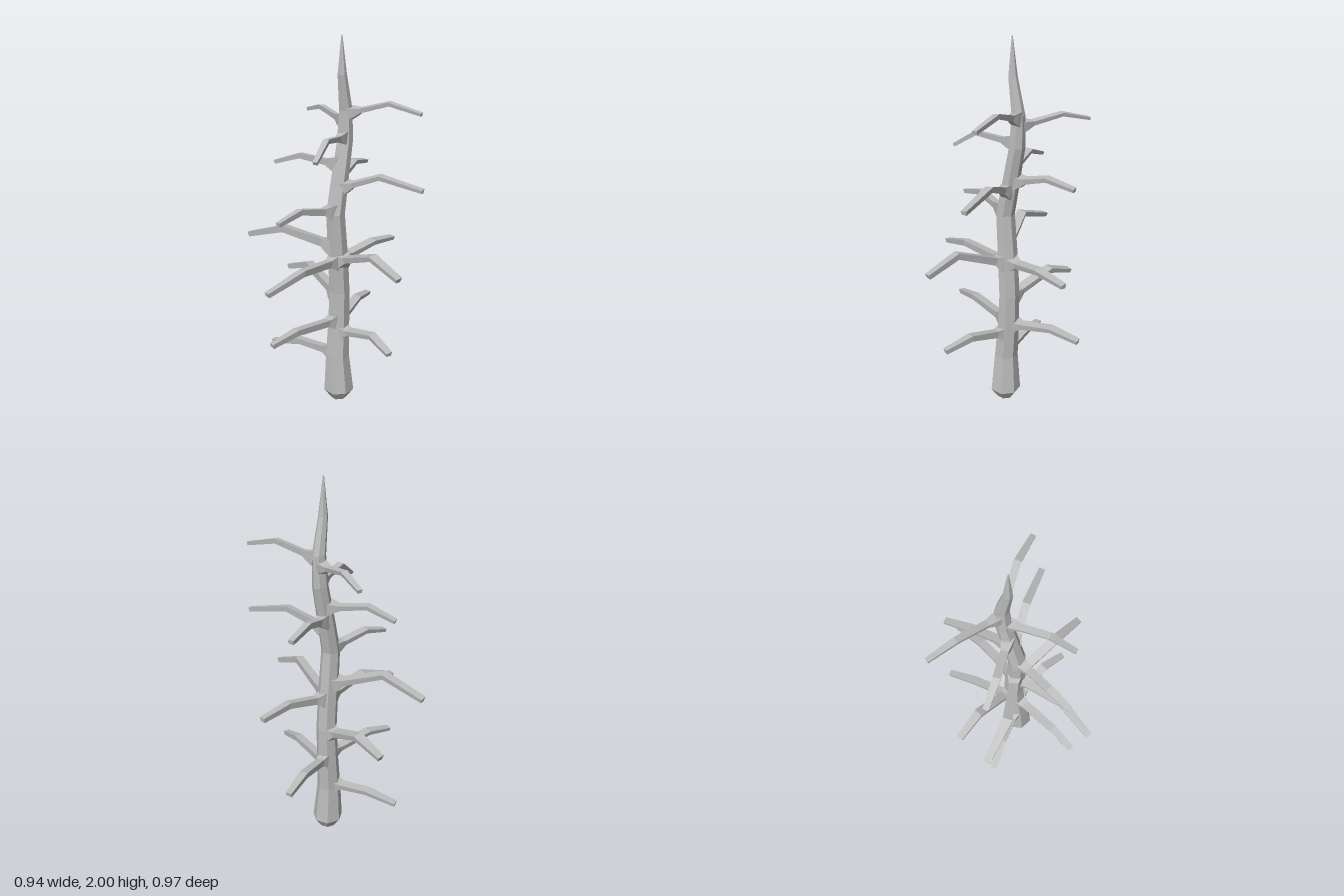
import * as THREE from 'three';

const V = (x, y, z) => new THREE.Vector3(x, y, z);

// Skin a list of closed rings (equal point counts), capping both ends; faceted normals.
function loft(rings) {
  const pos = [];
  const tri = (...pts) => pts.forEach((p) => pos.push(p.x, p.y, p.z));
  const n = rings[0].length;
  const centre = (r) => r.reduce((s, p) => s.add(p), V(0, 0, 0)).divideScalar(n);
  const first = rings[0], last = rings[rings.length - 1];
  const c0 = centre(first), c1 = centre(last);
  for (let j = 0; j < n; j++) {
    const k = (j + 1) % n;
    for (let i = 0; i < rings.length - 1; i++) {
      const a = rings[i], b = rings[i + 1];
      tri(a[j], b[j], b[k]);
      tri(a[j], b[k], a[k]);
    }
    tri(c0, first[j], first[k]);
    tri(c1, last[k], last[j]);
  }
  const g = new THREE.BufferGeometry();
  g.setAttribute('position', new THREE.Float32BufferAttribute(pos, 3));
  g.computeVertexNormals();
  return g;
}

// Trunk stations: x, y, z, radius
const TRUNK = [
  [0.035, 0, 0.03, 0.045], [0.035, 0.055, 0.03, 0.084], [0.032, 0.27, 0.022, 0.066],
  [0.045, 0.45, 0.02, 0.06], [0.052, 0.65, 0.02, 0.056], [0.04, 0.85, 0.018, 0.055],
  [0.02, 1.1, 0.015, 0.05], [0.055, 1.27, 0.015, 0.047], [0.097, 1.47, 0.017, 0.042],
  [0.104, 1.63, 0.017, 0.035], [0.07, 1.81, 0.018, 0.024], [0.065, 2, 0.018, 0.003],
];

function trunkAt(y) {
  let i = 0;
  while (i < TRUNK.length - 2 && TRUNK[i + 1][1] < y) i++;
  const a = TRUNK[i], b = TRUNK[i + 1], t = (y - a[1]) / (b[1] - a[1]);
  return V(a[0] + (b[0] - a[0]) * t, y, a[2] + (b[2] - a[2]) * t);
}

// Branches: height on the trunk, elbow x y z, tip x y z, scale
const BRANCHES = [
  [0.28, -0.01, 0.30, -0.21, -0.052, 0.265, -0.375, 1],
  [0.41, 0.0, 0.47, 0.27, -0.05, 0.43, 0.41, 1],
  [0.46, 0.30, 0.50, -0.03, 0.455, 0.47, -0.06, 1],
  [0.48, -0.25, 0.505, -0.04, -0.40, 0.475, -0.08, 1],
  [0.62, 0.12, 0.72, -0.24, 0.14, 0.665, -0.40, 1.1],
  [0.83, 0.29, 0.875, 0.075, 0.462, 0.855, 0.095, 1],
  [0.83, -0.26, 0.86, 0.015, -0.465, 0.795, -0.045, 1],
  [0.83, -0.055, 0.94, 0.30, -0.088, 0.875, 0.475, 1.05],
  [0.91, -0.085, 0.995, -0.25, -0.103, 0.92, -0.48, 1.1],
  [1.11, -0.20, 1.155, -0.045, -0.34, 1.12, -0.07, 0.9],
  [1.23, 0.105, 1.31, 0.23, 0.15, 1.265, 0.455, 0.9],
  [1.28, 0.25, 1.325, -0.03, 0.40, 1.295, -0.055, 0.9],
  [1.35, 0.0, 1.385, -0.20, -0.03, 1.335, -0.345, 0.85],
  [1.49, -0.125, 1.515, 0.065, -0.253, 1.435, 0.095, 0.72],
  [1.57, 0.20, 1.61, -0.21, 0.268, 1.573, -0.35, 0.72],
  [1.61, 0.16, 1.675, 0.24, 0.183, 1.637, 0.41, 0.75],
];

function branchGeometry([y, ex, ey, ez, tx, ty, tz, s]) {
  const root = trunkAt(y), elbow = V(ex, ey, ez), tip = V(tx, ty, tz);
  const d1 = elbow.clone().sub(root).normalize();
  const d2 = tip.clone().sub(elbow).normalize();
  const dm = d1.clone().add(d2).normalize();
  // Four-sided section, w = half width, h = half height
  const ring = (c, d, w, h) => {
    const side = d.clone().cross(V(0, 1, 0)).normalize();
    const up = side.clone().cross(d);
    return [[1, 0.7], [-1, 1], [-0.85, -1], [0.8, -0.8]].map(([a, b]) =>
      c.clone().addScaledVector(side, a * w * s).addScaledVector(up, b * h * s));
  };
  const along = (t) => root.clone().addScaledVector(d1, t);
  return loft([
    ring(along(0.02), d1, 0.04, 0.05),
    ring(along(0.05), d1, 0.034, 0.038),
    ring(along(0.085), d1, 0.024, 0.02),
    ring(elbow, dm, 0.024, 0.017),
    ring(tip, d2, 0.018, 0.013),
  ]);
}

export function createModel() {
  const model = new THREE.Group();
  model.name = 'bareTree';
  const bark = new THREE.MeshStandardMaterial({ color: 0xbbbbbb });
  bark.name = 'greyBark';

  // Crooked tapering trunk with a rounded-off foot
  const sides = 7;
  const trunk = new THREE.Mesh(loft(TRUNK.map(([x, y, z, r]) =>
    Array.from({ length: sides }, (_, j) => {
      const a = ((j + 0.25) / sides) * Math.PI * 2;
      return V(x + Math.cos(a) * r, y, z + Math.sin(a) * r);
    }))), bark);
  trunk.name = 'trunk';
  model.add(trunk);

  // Elbowed branches with flared roots
  const branches = new THREE.Group();
  branches.name = 'branches';
  BRANCHES.forEach((b, i) => {
    const mesh = new THREE.Mesh(branchGeometry(b), bark);
    mesh.name = `branch${i + 1}`;
    branches.add(mesh);
  });
  model.add(branches);
  return model;
}
